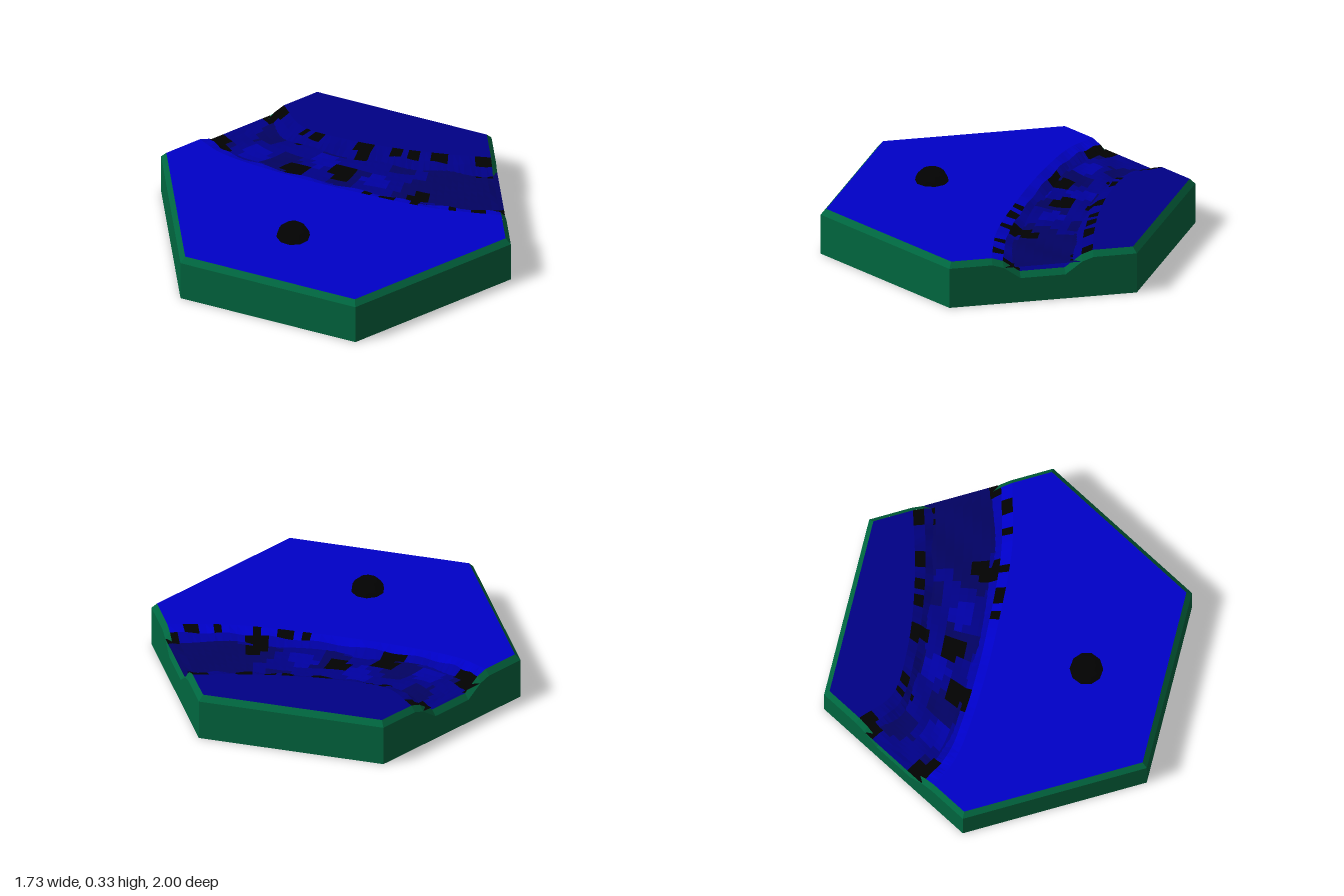
import * as THREE from 'three';

const TOP = 0.25, BEVEL = 0.03, INSET = 0.97, WATER = 0.2;
// channel cross-section: [offset from the channel centre, drop below the rim]
const CHANNEL = [[-0.27, 0], [-0.21, 0.02], [-0.12, 0.085], [0, 0.085], [0.12, 0.085], [0.21, 0.02], [0.27, 0]];
// dark stones in the river and along its banks: x, z, radius
const STONES = [
  [-0.56, -0.63, 0.06], [-0.54, -0.55, 0.04], [-0.23, -0.81, 0.05], [-0.19, -0.33, 0.07], [0.07, -0.28, 0.06],
  [-0.11, -0.59, 0.03], [-0.03, -0.59, 0.035], [0.19, -0.43, 0.05], [0.35, -0.37, 0.04], [0.45, -0.36, 0.035],
  [0.58, -0.3, 0.05], [0.77, -0.23, 0.04], [0.83, -0.21, 0.04], [0.43, 0, 0.06], [0.16, -0.03, 0.035],
  [0.27, 0.03, 0.04], [0.39, 0.1, 0.035], [0.59, 0.17, 0.035], [0.72, 0.21, 0.035], [0.83, 0.19, 0.035],
];
// brighter shallows: x, z, radius
const SHALLOWS = [[-0.02, -0.4, 0.07], [-0.37, -0.5, 0.07], [0.22, -0.18, 0.07], [-0.1, -0.2, 0.05]];

function mat(name, color, side = THREE.FrontSide) {
  const m = new THREE.MeshStandardMaterial({ color, side });
  m.name = name;
  return m;
}

function addMesh(group, name, geometry, material) {
  const mesh = new THREE.Mesh(geometry, material);
  mesh.name = name;
  group.add(mesh);
  return mesh;
}

// flat-shaded geometry from a list of triangle corners
function facets(points) {
  const g = new THREE.BufferGeometry().setFromPoints(points);
  g.computeVertexNormals();
  return g;
}

const quad = (a, b, c, d) => [a, b, c, a, c, d];
const near = (spots, p) => spots.some(([x, z, r]) => Math.hypot(p.x - x, p.z - z) < r);
const corner = (k) => new THREE.Vector3(Math.sin(k * Math.PI / 3), 0, Math.cos(k * Math.PI / 3));

// one side of the hexagon: upright wall plus bevel, notched where the channel leaves
function sideGeometry(k, notched) {
  const a = corner(k), b = corner(k + 1);
  const mid = a.clone().add(b).multiplyScalar(0.5), dir = b.clone().sub(a);
  const stops = [[-0.5, 0], ...(notched ? CHANNEL : []), [0.5, 0]];
  const columns = stops.map(([s, drop]) => {
    const outer = mid.clone().addScaledVector(dir, s);
    const innerS = Math.abs(s) === 0.5 ? s * INSET : s;
    const inner = mid.clone().multiplyScalar(INSET).addScaledVector(dir, innerS);
    return [outer, outer.clone().setY(TOP - BEVEL - drop), inner.setY(TOP - drop)];
  });
  const pts = [];
  for (let i = 0; i < columns.length - 1; i++) {
    const p = columns[i], q = columns[i + 1];
    for (let j = 0; j < 2; j++) pts.push(...quad(p[j], q[j], q[j + 1], p[j + 1]));
  }
  return facets(pts);
}

function curvePoints(list, n) {
  return new THREE.CatmullRomCurve3(list.map(([x, z]) => new THREE.Vector3(x, TOP, z))).getPoints(n);
}

function bankGeometry(edge, corners) {
  const outline = [...edge, ...corners.map((k) => corner(k).multiplyScalar(INSET))];
  const shape = new THREE.Shape(outline.map((p) => new THREE.Vector2(p.x, -p.z)));
  return new THREE.ShapeGeometry(shape).rotateX(-Math.PI / 2).translate(0, TOP, 0);
}

// one mesh per colour from a grid of points; choose() gives the material of each cell
function addPatches(group, name, rows, choose) {
  const patches = new Map();
  for (let i = 0; i < rows.length - 1; i++) {
    for (let j = 0; j < rows[i].length - 1; j++) {
      const a = rows[i][j], c = rows[i + 1][j + 1];
      const m = choose(a.clone().lerp(c, 0.5), j);
      if (!patches.has(m)) patches.set(m, []);
      patches.get(m).push(...quad(a, rows[i][j + 1], c, rows[i + 1][j]));
    }
  }
  for (const [m, pts] of patches) addMesh(group, name + ' ' + m.name, facets(pts), m);
}

export function createModel() {
  const group = new THREE.Group();
  group.name = 'riverTile';
  const green = mat('green', 0x00663f);
  const blue = mat('blue', 0x0000c8);
  const midBlue = mat('midBlue', 0x0000a4, THREE.DoubleSide);
  const navy = mat('navy', 0x000086, THREE.DoubleSide);
  const deepNavy = mat('deepNavy', 0x020262, THREE.DoubleSide);
  const black = mat('black', 0x020202, THREE.DoubleSide);

  // base
  for (let k = 0; k < 6; k++) addMesh(group, 'side' + (k + 1), sideGeometry(k, k === 1 || k === 3), green);
  addMesh(group, 'underside', new THREE.CircleGeometry(1, 6, Math.PI / 6).rotateX(Math.PI / 2), green);

  // banks on both sides of the curved channel
  const N = 44, ax = 0.866 * INSET;
  const north = curvePoints([[-0.186, -0.863], [-0.11, -0.66], [0.1, -0.52], [0.35, -0.41], [0.6, -0.33], [ax, -0.27]], N);
  const south = curvePoints([[-0.654, -0.593], [-0.55, -0.45], [-0.25, -0.23], [0.15, 0], [0.5, 0.17], [ax, 0.27]], N);
  addMesh(group, 'backBank', bankGeometry(north, [2, 3]), navy);
  addMesh(group, 'frontBank', bankGeometry(south, [1, 0, 5, 4]), blue);

  // channel: cross-sections swept between the two bank edges, slightly uneven inside
  const across = (i, s) => north[i].clone().lerp(south[i], s / 0.54 + 0.5);
  const wave = (i, j) => (i > 0 && i < N ? Math.sin(i * 1.1 + j * 2.3) * 0.006 : 0);
  const bed = north.map((p, i) => CHANNEL.map(([s, drop], j) => {
    const q = across(i, s);
    const inside = j > 0 && j < CHANNEL.length - 1;
    return q.setY(TOP - drop + (inside ? wave(i, j) : 0));
  }));
  addPatches(group, 'channel', bed, (p, j) => {
    if (near(STONES, p)) return black;
    if (j === 5) return blue;
    return j === 4 ? midBlue : navy;
  });

  // water: a rippled sheet that reaches over the bevel at both ends
  const steps = [-0.2, -0.15, -0.1, -0.05, 0, 0.05, 0.1, 0.15, 0.2];
  const water = north.map((p, i) => steps.map((s, j) => across(i, s).setY(WATER + wave(i * 0.5, j * 0.4))));
  steps.forEach((s, j) => water[N][j].setY(WATER));
  const overhang = (i) => {
    const shift = across(i, 0).setY(0).multiplyScalar(1 / INSET - 1);
    return water[i].map((p) => p.clone().add(shift));
  };
  const sheet = [overhang(0), ...water, overhang(N)];
  addPatches(group, 'water', sheet, (p) => {
    if (near(STONES, p)) return black;
    if (near(SHALLOWS, p)) return midBlue;
    const deep = p.x > 0.5 || Math.sin(p.x * 19) + Math.sin(p.z * 23 + p.x * 7) > 0.5;
    return deep ? deepNavy : navy;
  });

  // half-buried boulder
  const dome = new THREE.SphereGeometry(0.088, 10, 5, 0, Math.PI * 2, 0, Math.PI / 2).toNonIndexed();
  dome.computeVertexNormals();
  const boulder = addMesh(group, 'boulder', dome, black);
  boulder.scale.y = 0.87;
  boulder.position.set(-0.26, TOP, 0.35);

  return group;
}
